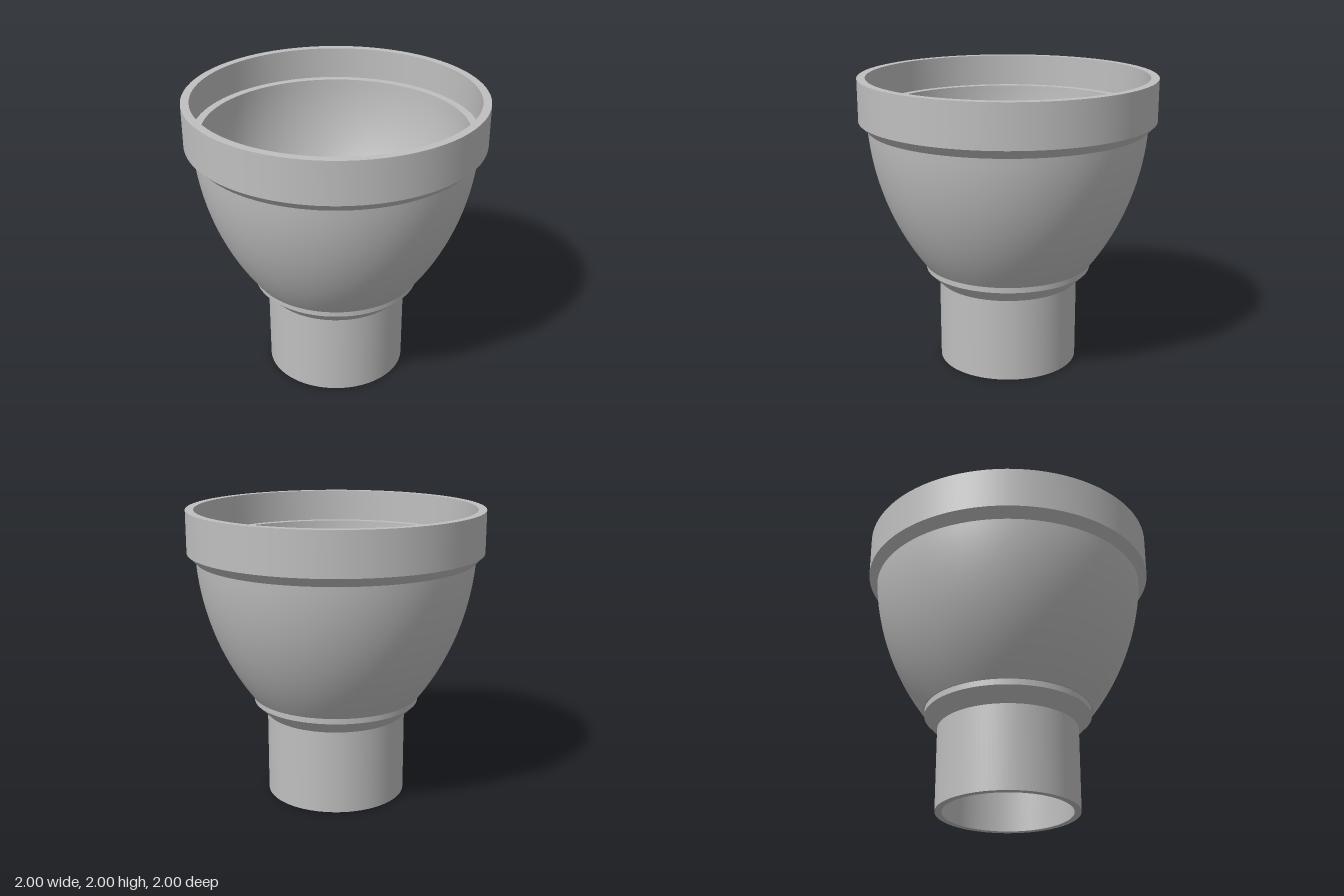
import * as THREE from 'three';

const SEGMENTS = 96;

export function createModel() {
  const model = new THREE.Group();
  model.name = 'funnel';
  const grey = new THREE.MeshStandardMaterial({ color: 0xbfbfbf });
  grey.name = 'plain grey';

  // Each lathed section is its own mesh, so edges between sections stay sharp.
  // Profiles run up the outside, over the rim and down the inside.
  const lathe = (name, points) => {
    const profile = points.map(([r, y]) => new THREE.Vector2(r, y));
    const mesh = new THREE.Mesh(new THREE.LatheGeometry(profile, SEGMENTS), grey);
    mesh.name = name;
    model.add(mesh);
  };

  // Bowl walls are concentric arcs; t is the angle below the rim.
  const centreR = -0.815, centreY = 1.78;
  const arc = (radius, from, to, steps = 20) =>
    Array.from({ length: steps + 1 }, (_, i) => {
      const t = from + ((to - from) * i) / steps;
      return [centreR + radius * Math.cos(t), centreY - radius * Math.sin(t)];
    });
  const angleAt = (radius, y) => Math.asin((centreY - y) / radius);
  const outerArc = arc(1.76, angleAt(1.76, 0.705), angleAt(1.76, 1.655));
  const innerArc = arc(1.705, 0, Math.acos((0.435 - centreR) / 1.705));
  const throat = innerArc[innerArc.length - 1];

  // Outside, from the spout to the rim
  lathe('spoutOuterWall', [[0.48, 0], [0.48, 0.575]]);
  lathe('collarBevel', [[0.48, 0.575], [0.57, 0.665]]);
  lathe('collarBand', [[0.57, 0.665], [0.57, 0.705]]);
  lathe('collarTop', [[0.57, 0.705], outerArc[0]]);
  lathe('bowlOuterWall', outerArc);
  lathe('rimBevel', [outerArc[outerArc.length - 1], [1, 1.715]]);
  lathe('rimOuterWall', [[1, 1.715], [1, 2]]);
  lathe('rimTop', [[1, 2], [0.945, 2]]);

  // Inside, from the rim to the spout
  lathe('rimInnerWall', [[0.945, 2], [0.945, 1.78]]);
  lathe('innerLedge', [[0.945, 1.78], innerArc[0]]);
  lathe('bowlInnerWall', innerArc);
  lathe('spoutInnerWall', [throat, [0.435, 0]]);
  lathe('spoutEnd', [[0.435, 0], [0.48, 0]]);

  return model;
}
